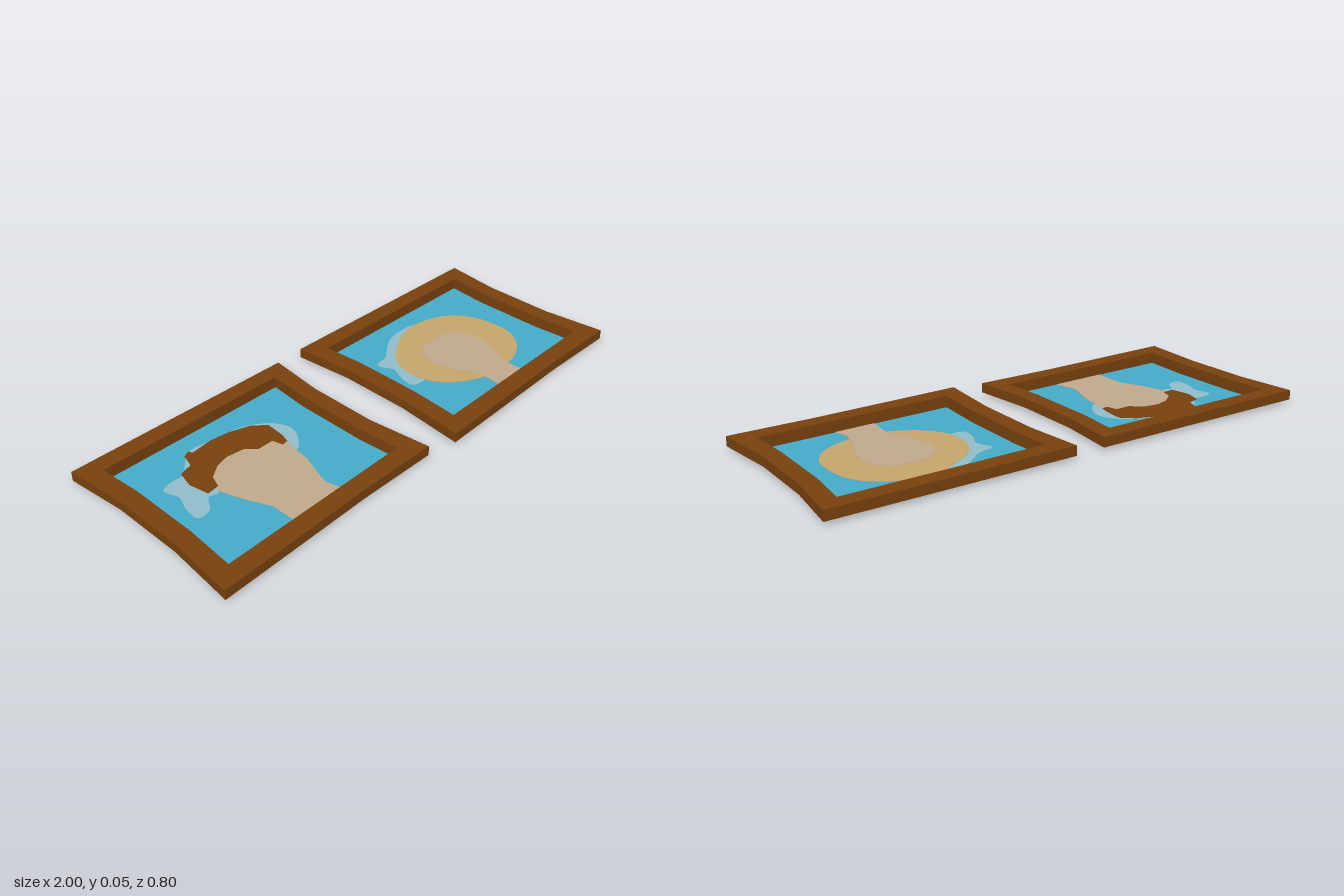
import * as THREE from 'three';

const mat = (name, color) => {
  const m = new THREE.MeshStandardMaterial({ color, side: THREE.DoubleSide });
  m.name = name;
  return m;
};

// Flat [x, up, x, up ...] lists in hundredths become points
const toPoints = (list) => {
  const pts = [];
  for (let i = 0; i < list.length; i += 2) pts.push(new THREE.Vector2(list[i] / 100, list[i + 1] / 100));
  return pts;
};

// Closed smooth outline through the points
const smooth = (pts) => new THREE.CatmullRomCurve3(
  pts.map((p) => new THREE.Vector3(p.x, p.y, 0)), true).getPoints(pts.length * 3)
  .slice(0, -1).map((p) => new THREE.Vector2(p.x, p.y));

const OUTER = toPoints([-47, 39.8, 46.5, 39, 44, 16, 44, -12.5, 47, -37.7, 15, -37.7,
  -47, -39.8, -44.6, -12.5, -44.6, 16]);
const INNER = toPoints([-39, 32.8, 38.8, 32.5, 37.4, 16, 37.4, -12.5, 38.8, -30.2, 12, -30.8,
  -38.9, -32, -37.6, -12.5, -37.6, 16]);

const MAN = {
  glow: [-28.7, 14.2, -24, 16, -19, 16, -14, 21, -9, 25, 0, 24.3, 14, 22, 22.7, 15.8, 25.3, 8.8, 21.6, 1.3,
    17, -2, 0, 0, -14, 2, -17, 0, -20, 1, -24, -4.5, -29.2, -5, -29.2, 1.3, -27, 7.8],
  face: [-13.7, 5, -15.8, 1.3, -14.2, -4, -12, -10, -8.3, -18, -8.2, -31.3, 14.7, -30.6, 12.5, -21.7,
    14, -16.3, 16.8, -8.3, 17.9, 0, 19, 5, 15, 12, -10, 13],
  hair: [-19, 2.4, -20.6, 10.4, -19, 16.8, -13.7, 18.4, -12, 23.8, -9.4, 25, -8.9, 23.3, -0.3, 24.3, 7.7, 23.3,
    15.7, 20.6, 20.5, 16.3, 20, 8.8, 19, 4.5, 16.3, 4, 15.2, 8.3, 8.8, 8.3, 5, 12, -2, 13, -7.3, 11.5,
    -12.6, 7.8, -14.2, 3],
};
const WOMAN = {
  glow: [-29.6, 14.7, -23, 16.3, -18, 20, -11.4, 24.3, -4.5, 25.4, 4, 24, 0, 10, -20, 0, -23, -5, -29.6, -4.5,
    -29.6, 1.3, -27, 8],
  hair: [-24.8, 1.3, -23.2, 8.8, -18.4, 15.2, -10.9, 20, -4.5, 23.3, 3.5, 24.3, 12, 22.7, 19.6, 18.4, 25, 11,
    27, 0.3, 26, -8.3, 20.6, -15.8, 13.2, -20, 8.3, -21, -5, -21, -12.5, -18, -19.5, -12.6, -23.7, -6],
  face: [-13, 0, -12, 6, -7, 10.5, 0, 11.5, 8, 10.5, 13, 6, 14.2, -1, 12.5, -9, 9, -16, 8, -21, 7.5, -25, 9, -30.7,
    -7, -31.2, -6.5, -25, -6, -20, -7, -15, -11, -9],
};

// Vertical wall following an outline
function wall(pts, y0, y1) {
  const pos = [];
  pts.forEach((a, i) => {
    const b = pts[(i + 1) % pts.length];
    // outlines run clockwise seen from above, so this order faces outward
    pos.push(b.x, y0, -b.y, a.x, y0, -a.y, a.x, y1, -a.y);
    pos.push(b.x, y0, -b.y, a.x, y1, -a.y, b.x, y1, -b.y);
  });
  const g = new THREE.BufferGeometry();
  g.setAttribute('position', new THREE.Float32BufferAttribute(pos, 3));
  g.computeVertexNormals();
  return g;
}

export function createModel() {
  const wood = mat('brown', 0x78410e);
  const sky = mat('blue', 0x45abc8);
  const pale = mat('pale blue', 0x90bdc8);
  const skin = mat('skin', 0xc0a98e);
  const blond = mat('blond', 0xc4a56b);

  const model = new THREE.Group();
  const add = (group, name, geo, material) => {
    const m = new THREE.Mesh(geo, material);
    m.name = name;
    group.add(m);
  };

  // Thin painted layer, centred in the panel so it shows on both sides
  const plate = (pts, layer) => {
    const t = 0.0015 * layer;
    return new THREE.ExtrudeGeometry(new THREE.Shape(pts), { depth: t, bevelEnabled: false })
      .rotateX(-Math.PI / 2).translate(0, 0.003 - t / 2, 0);
  };

  const makePicture = (name, x) => {
    const g = new THREE.Group();
    g.name = name;
    g.position.x = x;
    // Hollow frame: outer wall, top ring and deeper inner wall
    const ring = new THREE.Shape(OUTER);
    ring.holes.push(new THREE.Path(INNER));
    add(g, 'frameTop', new THREE.ShapeGeometry(ring).rotateX(-Math.PI / 2).translate(0, 0.05, 0), wood);
    add(g, 'frameOuterWall', wall(OUTER, 0.012, 0.05), wood);
    add(g, 'frameInnerWall', wall(INNER, 0, 0.05), wood);
    add(g, 'background', plate(INNER, 1), sky);
    model.add(g);
    return g;
  };

  // Portrait with short dark hair
  const left = makePicture('shortHairPortrait', -0.53);
  add(left, 'glow', plate(smooth(toPoints(MAN.glow)), 2), pale);
  add(left, 'face', plate(toPoints(MAN.face), 3), skin);
  add(left, 'hair', plate(toPoints(MAN.hair), 4), wood);

  // Portrait with round fair hair
  const right = makePicture('roundHairPortrait', 0.53);
  add(right, 'glow', plate(smooth(toPoints(WOMAN.glow)), 2), pale);
  add(right, 'hair', plate(smooth(toPoints(WOMAN.hair)), 3), blond);
  add(right, 'face', plate(toPoints(WOMAN.face), 4), skin);

  return model;
}
